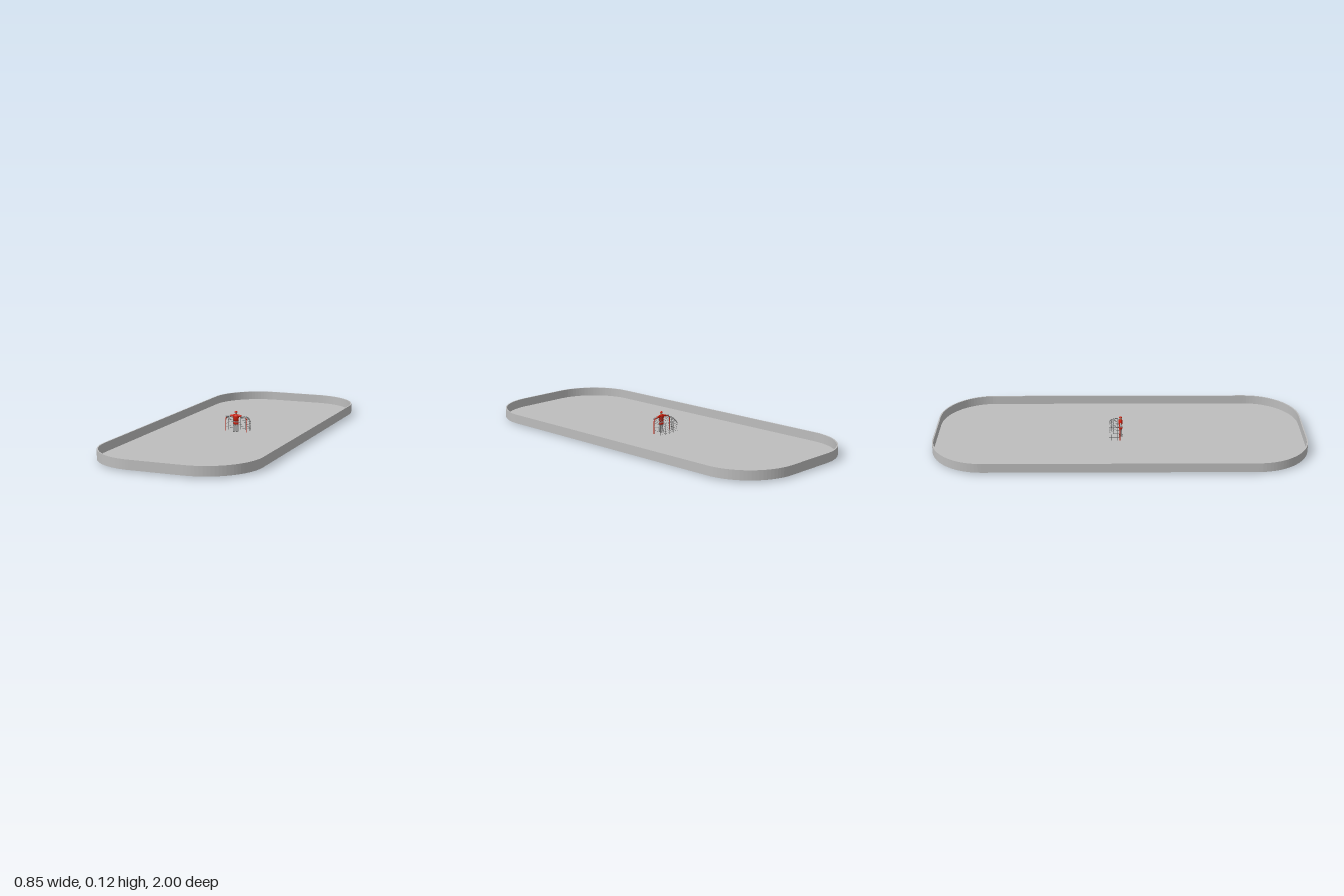
import * as THREE from 'three';

const mat = (name, color) => {
  const m = new THREE.MeshStandardMaterial({ color });
  m.name = name;
  return m;
};
const V = (x, y, z) => new THREE.Vector3(x, y, z);

export function createModel() {
  const model = new THREE.Group();
  const grey = mat('rink grey', 0xbdbdbd);
  const red = mat('team red', 0xcc1c08);
  const netGrey = mat('net grey', 0x6a6a6a);
  const padGrey = mat('pad grey', 0xa0a0a0);
  const dark = mat('dark gear', 0x383838);
  const skin = mat('skin', 0xb08468);

  const add = (parent, name, geo, material, x = 0, y = 0, z = 0) => {
    const mesh = new THREE.Mesh(geo, material);
    mesh.name = name;
    mesh.position.set(x, y, z);
    parent.add(mesh);
    return mesh;
  };
  const group = (name) => {
    const g = new THREE.Group();
    g.name = name;
    model.add(g);
    return g;
  };
  // tapered round limb between two points
  const limb = (parent, name, a, b, r1, r2, material, sides = 10) => {
    const geo = new THREE.CylinderGeometry(r2, r1, a.distanceTo(b), sides);
    const mesh = add(parent, name, geo, material);
    mesh.position.copy(a).add(b).multiplyScalar(0.5);
    mesh.quaternion.setFromUnitVectors(V(0, 1, 0), b.clone().sub(a).normalize());
    return mesh;
  };
  const tube = (parent, name, pts, r, material, sides = 4) => {
    const path = new THREE.CurvePath();
    for (let i = 1; i < pts.length; i++) path.add(new THREE.LineCurve3(pts[i - 1], pts[i]));
    return add(parent, name, new THREE.TubeGeometry(path, (pts.length - 1) * 3, r, sides), material);
  };

  // Rink: rounded floor and surrounding boards
  const outline = (T, w, l, r) => {
    const s = new T();
    s.absarc(w - r, l - r, r, 0, Math.PI / 2);
    s.absarc(r - w, l - r, r, Math.PI / 2, Math.PI);
    s.absarc(r - w, r - l, r, Math.PI, Math.PI * 1.5);
    s.absarc(w - r, r - l, r, Math.PI * 1.5, Math.PI * 2);
    s.closePath();
    return s;
  };
  const slab = (shape, y, depth) => new THREE.ExtrudeGeometry(shape, { depth, bevelEnabled: false, curveSegments: 12 })
    .rotateX(-Math.PI / 2).translate(0, y, 0);
  const rink = group('rink');
  add(rink, 'floor', slab(outline(THREE.Shape, 0.425, 0.998, 0.285), 0.008, 0.002), grey);
  const boards = outline(THREE.Shape, 0.427, 1, 0.287);
  boards.holes.push(outline(THREE.Path, 0.42, 0.993, 0.28));
  add(rink, 'boards', slab(boards, 0.008, 0.05), grey);

  // Goal: arch with rounded top corners, lower towards the back
  const goal = group('goal');
  const W = 0.062, R = 0.022, BASE = 0.0075, BACK = -0.06;
  const roof = (z) => 0.094 - 0.018 * Math.pow(z / BACK, 3);
  const arch = (z) => {
    const h = roof(z), pts = [V(-W, BASE, z), V(-W, 0.03, z), V(-W, 0.05, z)];
    for (let i = 0; i <= 5; i++) {
      const a = Math.PI - i * Math.PI / 10;
      pts.push(V(-W + R + R * Math.cos(a), h - R + R * Math.sin(a), z));
    }
    for (const x of [-0.02, 0, 0.02]) pts.push(V(x, h, z));
    const mirrored = pts.slice(0, 9).reverse().map((p) => V(-p.x, p.y, p.z));
    return pts.concat(mirrored);
  };
  tube(goal, 'goalFrame', arch(0), 0.0024, red, 8);
  tube(goal, 'baseFrame', [V(-W, BASE, 0), V(-W, BASE, BACK + 0.012), V(-W + 0.012, BASE, BACK),
    V(W - 0.012, BASE, BACK), V(W, BASE, BACK + 0.012), V(W, BASE, 0)], 0.0018, red, 6);

  // Net: hoops, lengthwise cords and the back panel
  const T = 0.0006;
  const depths = [0, 0.2, 0.4, 0.6, 0.8, 1].map((t) => t * BACK);
  const hoops = depths.map(arch);
  hoops.slice(1).forEach((pts) => tube(goal, 'netHoop', pts, T, netGrey));
  for (let i = 1; i < hoops[0].length - 1; i++) {
    tube(goal, 'netCord', hoops.map((h) => h[i]), T, netGrey);
  }
  const hBack = roof(BACK);
  const cornerDrop = (x) => {
    const d = Math.max(0, Math.abs(x) - (W - R));
    return R - Math.sqrt(R * R - d * d);
  };
  for (let i = -5; i <= 5; i++) {
    const x = i * 0.0105;
    limb(goal, 'backNetUpright', V(x, BASE, BACK), V(x, hBack - cornerDrop(x), BACK), T, T, netGrey, 4);
  }
  for (let y = 0.018; y < hBack; y += 0.0105) {
    const d = Math.max(0, y - (hBack - R));
    const x = W - R + Math.sqrt(R * R - d * d);
    limb(goal, 'backNetRow', V(-x, y, BACK), V(x, y, BACK), T, T, netGrey, 4);
  }

  // Goalkeeper: jersey, belt and shorts
  const keeper = group('goalkeeper');
  const body = (name, profile, material) => {
    const geo = new THREE.LatheGeometry(profile.map(([r, y]) => new THREE.Vector2(r, y)), 16);
    add(keeper, name, geo, material, 0, 0, 0.003).scale.z = 0.65;
  };
  body('shorts', [[0, 0.05], [0.013, 0.05], [0.0155, 0.056], [0.015, 0.064], [0, 0.064]], red);
  body('belt', [[0, 0.0635], [0.0155, 0.0635], [0.0155, 0.0685], [0, 0.0685]], padGrey);
  body('jersey', [[0, 0.068], [0.014, 0.068], [0.0145, 0.08], [0.017, 0.093], [0.015, 0.102],
    [0.007, 0.107], [0, 0.108]], red);

  // Head and helmet
  const ball = (name, r, material, x, y, z, sx = 1, sy = 1, sz = 1) =>
    add(keeper, name, new THREE.SphereGeometry(r, 14, 10), material, x, y, z).scale.set(sx, sy, sz);
  limb(keeper, 'neck', V(0, 0.104, 0.002), V(0, 0.112, 0.003), 0.004, 0.004, skin);
  ball('face', 0.0065, skin, 0, 0.1155, 0.004, 0.9, 1.15, 1);
  add(keeper, 'helmet', new THREE.SphereGeometry(0.0075, 14, 6, 0, Math.PI * 2, 0, Math.PI / 2), red, 0, 0.1175, 0.003);
  for (const x of [-0.003, 0, 0.003]) {
    limb(keeper, 'maskBar', V(x, 0.109, 0.0095), V(x, 0.119, 0.011), 0.0005, 0.0005, padGrey, 4);
  }
  for (const y of [0.111, 0.115]) {
    limb(keeper, 'maskRow', V(-0.006, y, 0.009), V(0.006, y, 0.009), 0.0005, 0.0005, padGrey, 4);
  }

  // Outstretched arms, legs with pads, and skates
  for (const s of [-1, 1]) {
    limb(keeper, 'sleeve', V(s * 0.01, 0.1, 0.002), V(s * 0.032, 0.096, 0.003), 0.0068, 0.0052, red);
    limb(keeper, 'forearm', V(s * 0.031, 0.096, 0.003), V(s * 0.048, 0.094, 0.005), 0.0045, 0.0038, padGrey);
    ball('glove', 0.0075, padGrey, s * 0.054, 0.093, 0.006, 1.1, 0.6, 0.8);
    limb(keeper, 'thigh', V(s * 0.007, 0.055, 0.003), V(s * 0.0085, 0.034, 0.006), 0.0065, 0.0055, padGrey);
    limb(keeper, 'shin', V(s * 0.0085, 0.035, 0.006), V(s * 0.0085, 0.01, 0.002), 0.0055, 0.0045, padGrey);
    add(keeper, 'legPad', new THREE.BoxGeometry(0.011, 0.03, 0.004), padGrey, s * 0.0085, 0.025, 0.009);
    add(keeper, 'skateBoot', new THREE.BoxGeometry(0.007, 0.007, 0.018), dark, s * 0.0085, 0.008, 0.005);
    add(keeper, 'skateBlade', new THREE.BoxGeometry(0.0015, 0.005, 0.02), padGrey, s * 0.0085, 0.0025, 0.005);
  }
  return model;
}
